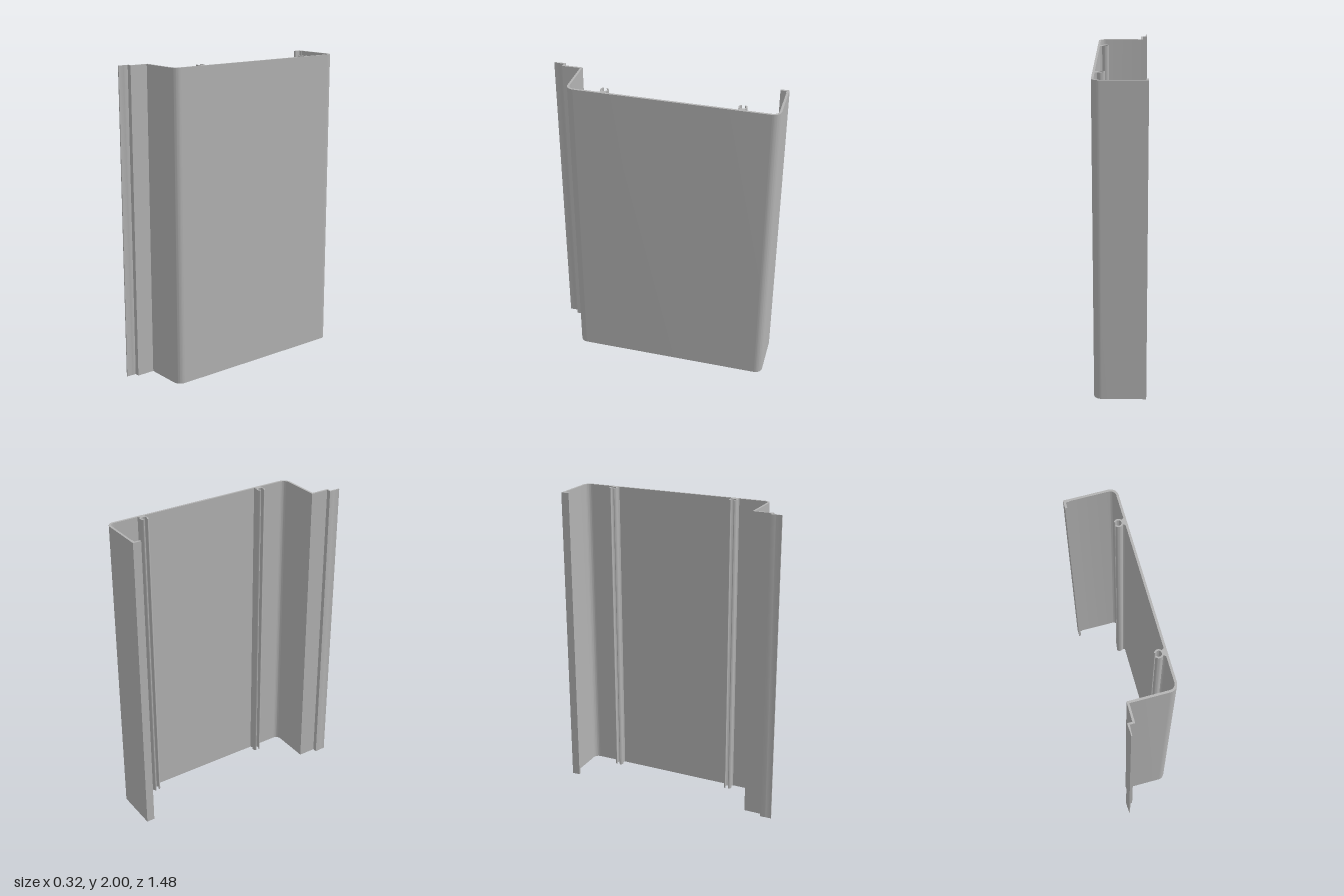
import * as THREE from 'three';
import { toCreasedNormals } from 'three/addons/utils/BufferGeometryUtils.js';

const HEIGHT = 2;
const aluminium = new THREE.MeshStandardMaterial({ color: 0xb2b2b2 });
aluminium.name = 'aluminium';

// Extrudes a plan profile (x, -z) upward from y = 0.
function extrudeUp(name, shape) {
  const geo = new THREE.ExtrudeGeometry(shape, { depth: HEIGHT, bevelEnabled: false, curveSegments: 12 });
  geo.rotateX(-Math.PI / 2);
  const mesh = new THREE.Mesh(toCreasedNormals(geo, Math.PI / 6), aluminium);
  mesh.name = name;
  return mesh;
}

// Thin channel wall with rounded corners, a hooked back lip and a stepped front lip.
function channelShape() {
  const s = new THREE.Shape();
  const line = (...pts) => pts.forEach(([x, y]) => s.lineTo(x, y));
  const q = Math.PI / 2;
  s.moveTo(-0.162, 0.74);
  line([0.112, 0.74]);
  s.absarc(0.112, 0.69, 0.05, q, 0, true);
  s.absarc(0.112, -0.51, 0.05, 0, -q, true);
  line([-0.12, -0.56], [-0.12, -0.677], [-0.151, -0.677], [-0.151, -0.7], [-0.153, -0.704],
    [-0.153, -0.74], [-0.16, -0.74], [-0.16, -0.704], [-0.162, -0.7], [-0.162, -0.665],
    [-0.133, -0.665], [-0.133, -0.546]);
  line([0.112, -0.546]);
  s.absarc(0.112, -0.51, 0.036, -q, 0, false);
  s.absarc(0.112, 0.69, 0.036, 0, q, false);
  line([-0.125, 0.726], [-0.125, 0.723], [-0.148, 0.723], [-0.148, 0.687], [-0.162, 0.687]);
  return s;
}

// C-shaped screw channel, open toward -x, with rounded ends.
function screwChannelShape(x, y) {
  const outer = 0.027, inner = 0.018, a = 2.5;
  const mid = (outer + inner) / 2, tip = (outer - inner) / 2;
  const s = new THREE.Shape();
  s.absarc(x, y, outer, -a, a, false);
  s.absarc(x + mid * Math.cos(a), y + mid * Math.sin(a), tip, a, a + Math.PI, false);
  s.absarc(x, y, inner, a, -a, true);
  s.absarc(x + mid * Math.cos(a), y - mid * Math.sin(a), tip, Math.PI - a, 2 * Math.PI - a, false);
  return s;
}

// Flared neck joining a screw channel to the wall.
function neckShape(x, y) {
  const s = new THREE.Shape();
  s.moveTo(x + 0.021, y - 0.016);
  s.quadraticCurveTo(x + 0.03, y - 0.019, x + 0.038, y - 0.026);
  s.lineTo(x + 0.038, y + 0.026);
  s.quadraticCurveTo(x + 0.03, y + 0.019, x + 0.021, y + 0.016);
  s.closePath();
  return s;
}

export function createModel() {
  const model = new THREE.Group();
  model.name = 'channelProfile';
  model.add(extrudeUp('channelWall', channelShape()));
  for (const [side, z] of [['back', -0.512], ['front', 0.327]]) {
    const boss = new THREE.Group();
    boss.name = side + 'ScrewBoss';
    boss.add(extrudeUp(side + 'ScrewChannel', screwChannelShape(0.112, -z)));
    boss.add(extrudeUp(side + 'Neck', neckShape(0.112, -z)));
    model.add(boss);
  }
  return model;
}
